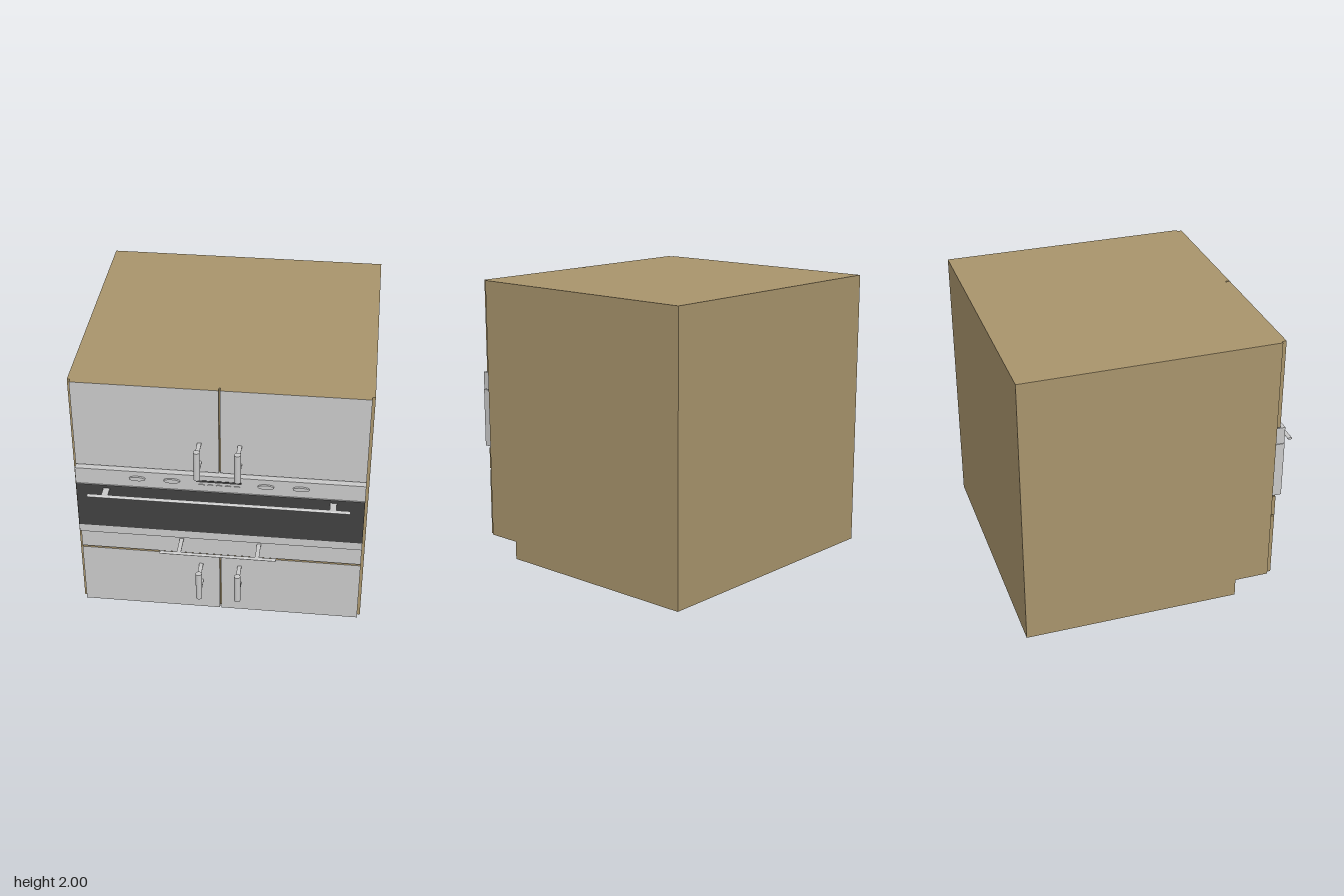
import * as THREE from 'three';

const mat = (name, color) => Object.assign(new THREE.MeshStandardMaterial({ color }), { name });

export function createModel() {
  const wood = mat('wood', 0xa8946c);
  const steel = mat('steel', 0xc9c9c9);
  const glass = mat('darkGlass', 0x404040);

  const model = new THREE.Group();
  model.name = 'ovenCabinet';

  const add = (name, geometry, material, x = 0, y = 0, z = 0, parent = model) => {
    const mesh = new THREE.Mesh(geometry, material);
    mesh.name = name;
    mesh.position.set(x, y, z);
    parent.add(mesh);
    return mesh;
  };
  // Box given by its limits on each axis
  const block = (name, material, [x0, x1], [y0, y1], [z0, z1], parent) =>
    add(name, new THREE.BoxGeometry(x1 - x0, y1 - y0, z1 - z0), material,
      (x0 + x1) / 2, (y0 + y1) / 2, (z0 + z1) / 2, parent);

  // Cabinet body with recessed toe kick: side profile extruded across the width
  const profile = new THREE.Shape([
    [-1, 0], [0.55, 0], [0.55, 0.13], [0.797, 0.13], [0.797, 2], [-1, 2],
  ].map(([z, y]) => new THREE.Vector2(z, y)));
  const body = new THREE.ExtrudeGeometry(profile, { depth: 2, bevelEnabled: false });
  body.translate(0, 0, -1).rotateY(-Math.PI / 2);
  add('cabinetBody', body, wood);

  // Fronts: wood edges with a steel face towards +z
  const faced = [wood, wood, wood, wood, steel, wood];
  const frontZ = [0.797, 0.83];
  block('drawerFront', faced, [-0.98, 0.98], [0.627, 0.78], frontZ);

  // Bar handle for a door: upright round bar on two flat posts
  const doorHandle = (x, y) => {
    const handle = new THREE.Group();
    handle.name = 'doorHandle';
    model.add(handle);
    add('handleBar', new THREE.CylinderGeometry(0.022, 0.022, 0.22, 20), steel, x, y, 0.978, handle);
    for (const dy of [-0.074, 0.074]) {
      block('handlePost', steel, [x - 0.014, x + 0.014], [y + dy - 0.004, y + dy + 0.004], [0.83, 0.97], handle);
    }
  };
  for (const side of [-1, 1]) {
    const span = side < 0 ? [-0.98, -0.005] : [0.005, 0.98];
    block('lowerDoor', faced, span, [0.13, 0.615], frontZ);
    block('upperDoor', faced, span, [1.342, 2], frontZ);
    doorHandle(side * 0.135, 0.457);
    doorHandle(side * 0.135, 1.5);
  }

  // Horizontal bar with flattened round section
  const bar = (name, length, height, depth, y, z, parent) => {
    const geometry = new THREE.CylinderGeometry(0.5, 0.5, length, 20);
    geometry.rotateZ(Math.PI / 2).scale(1, height, depth);
    add(name, geometry, steel, 0, y, z, parent);
  };

  // Drawer handle
  const drawerHandle = new THREE.Group();
  drawerHandle.name = 'drawerHandle';
  model.add(drawerHandle);
  bar('handleBar', 0.8, 0.011, 0.03, 0.745, 0.985, drawerHandle);
  for (const x of [-0.27, 0.27]) {
    block('handlePost', steel, [x - 0.014, x + 0.014], [0.741, 0.749], [0.83, 0.985], drawerHandle);
  }

  // Oven
  const oven = new THREE.Group();
  oven.name = 'oven';
  model.add(oven);
  const ovenX = [-0.98, 0.98];
  block('lowerTrim', steel, ovenX, [0.79, 0.85], [0.797, 0.87], oven);
  block('ovenDoor', [steel, steel, steel, steel, glass, steel], ovenX, [0.85, 1.206], [0.797, 0.87], oven);
  block('controlPanel', steel, ovenX, [1.21, 1.335], [0.797, 0.867], oven);
  block('display', glass, [-0.155, 0.15], [1.284, 1.298], [0.866, 0.87], oven);

  // Oven handle
  bar('ovenHandleBar', 1.775, 0.016, 0.032, 1.175, 0.955, oven);
  for (const x of [-0.77, 0.77]) {
    block('ovenHandlePost', steel, [x - 0.022, x + 0.022], [1.169, 1.181], [0.87, 0.955], oven);
  }

  // Oval knobs and small buttons
  const dial = (name, x, y, rx, ry, depth) => {
    const geometry = new THREE.CylinderGeometry(1, 1, depth, 24);
    geometry.rotateX(Math.PI / 2).scale(rx, ry, 1);
    add(name, geometry, steel, x, y, 0.867 + depth / 2, oven);
  };
  for (const x of [-0.555, -0.32, 0.315, 0.55]) dial('knob', x, 1.282, 0.055, 0.016, 0.014);
  for (let i = -2; i <= 2; i++) dial('button', i * 0.06, 1.262, 0.02, 0.006, 0.006);

  return model;
}
